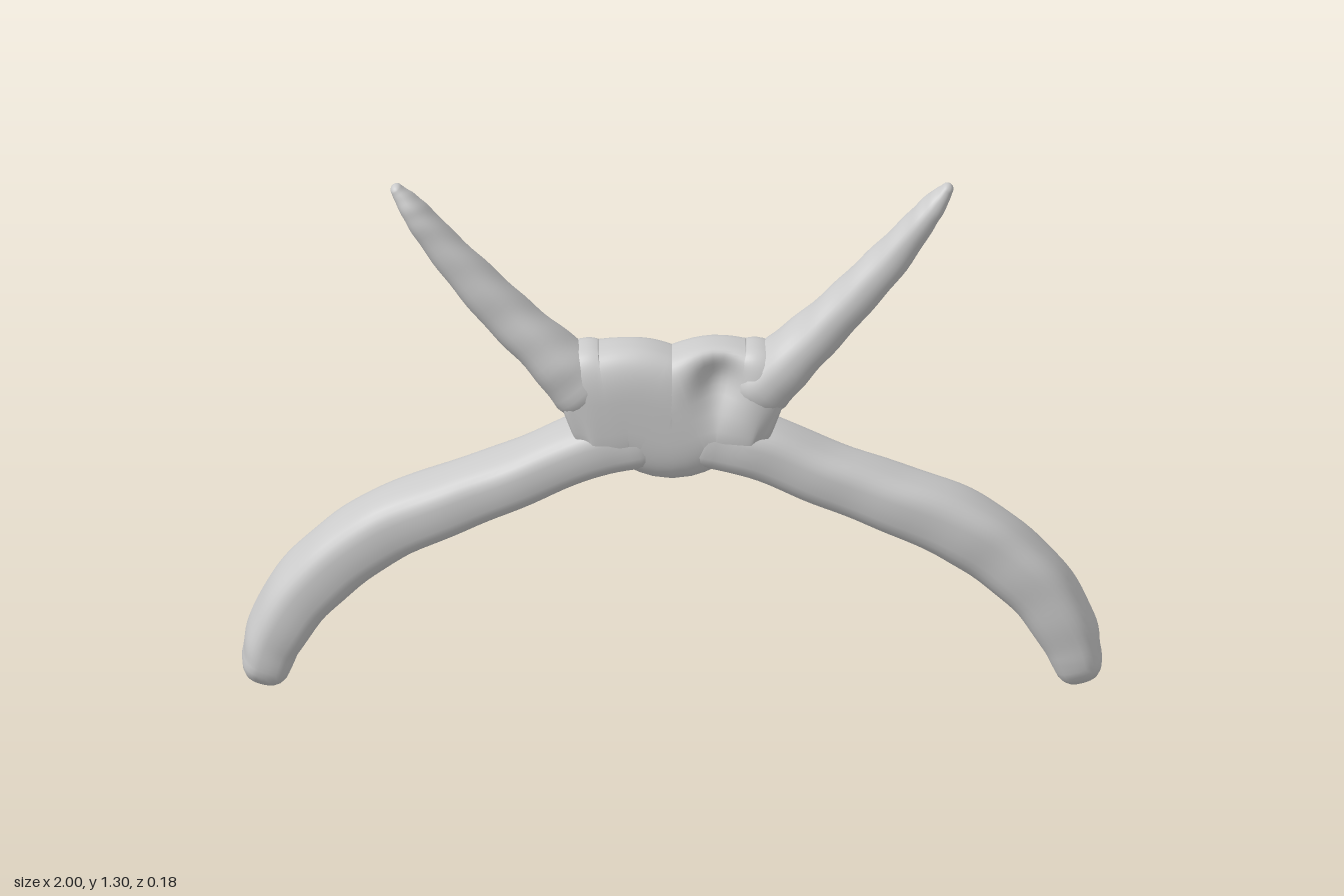
import * as THREE from 'three';

const material = new THREE.MeshStandardMaterial({ color: 0xcccccc });

// Sweeps a rounded section along [x, y, halfWidth, halfDepth] stations, with domed ends.
function sweep(name, stations, { power = 2.5, steps = 40, sides = 28, wobble = 0, capScale = 1, shape } = {}) {
  const path = new THREE.CatmullRomCurve3(stations.map(s => new THREE.Vector3(s[0], s[1], 0)), false, 'catmullrom');
  const size = new THREE.CatmullRomCurve3(stations.map(s => new THREE.Vector3(s[2], s[3], 0)), false, 'catmullrom');
  const rings = [];
  const capSteps = 6;
  const addRing = (t, angle, dir) => {
    const s = size.getPoint(t), tan = path.getTangent(t);
    const c = path.getPoint(t).addScaledVector(tan, dir * Math.sin(angle) * s.x * capScale);
    const k = Math.max(Math.cos(angle), 0.001);
    rings.push({ c, tan, w: s.x * k, d: s.y * k, t });
  };
  for (let i = capSteps; i > 0; i--) addRing(0, (i / capSteps) * Math.PI / 2, -1);
  for (let i = 0; i <= steps; i++) addRing(i / steps, 0, 0);
  for (let i = 1; i <= capSteps; i++) addRing(1, (i / capSteps) * Math.PI / 2, 1);

  const positions = [], index = [], p = new THREE.Vector3();
  const round = v => Math.sign(v) * Math.pow(Math.abs(v), 2 / power);
  rings.forEach((r, i) => {
    for (let j = 0; j < sides; j++) {
      const a = (j / sides) * Math.PI * 2;
      const lump = 1 + wobble * Math.sin(r.t * 31 + 2 * Math.sin(a)) * Math.cos(r.t * 13 + a);
      const u = round(Math.cos(a)) * r.w * lump;
      p.set(r.c.x - r.tan.y * u, r.c.y + r.tan.x * u, round(Math.sin(a)) * r.d * lump);
      if (shape) shape(p);
      positions.push(p.x, p.y, p.z);
      if (i < rings.length - 1) {
        const k = (j + 1) % sides, A = i * sides + j, B = i * sides + k;
        index.push(A, B, A + sides, B, B + sides, A + sides);
      }
    }
  });
  const geometry = new THREE.BufferGeometry();
  geometry.setAttribute('position', new THREE.Float32BufferAttribute(positions, 3));
  geometry.setIndex(index);
  geometry.computeVertexNormals();
  const mesh = new THREE.Mesh(geometry, material);
  mesh.name = name;
  return mesh;
}

// Hollow beside each upper limb: front on the left, back on the right.
function dent(p) {
  const side = Math.sign(p.z);
  const dx = (p.x * side - 0.11) / 0.055, dy = (p.y - 0.81) / 0.075;
  p.z -= side * Math.abs(p.z) * 0.65 * Math.exp(-dx * dx - dy * dy);
}

export function createModel() {
  const group = new THREE.Group();
  group.name = 'branchedFigure';

  // Central body: [x, top, bottom, halfDepth]
  const half = [[0.235, 0.79, 0.62, 0.07], [0.2, 0.875, 0.56, 0.083], [0.15, 0.88, 0.565, 0.086],
    [0.1, 0.887, 0.575, 0.086], [0.05, 0.872, 0.565, 0.086]];
  const profile = [...half.map(([x, ...r]) => [-x, ...r]), [0, 0.852, 0.545, 0.086], ...half.slice().reverse()];
  group.add(sweep('body', profile.map(([x, t, b, d]) => [x, (t + b) / 2, (t - b) / 2, d]),
    { power: 3.2, steps: 60, sides: 56, capScale: 0.15, shape: dent }));

  // Limbs, repeated by a half turn about the vertical axis
  for (const side of ['left', 'right']) {
    const limbs = new THREE.Group();
    limbs.name = side + 'Limbs';
    limbs.add(sweep('lowerLimb', [
      [0.08, 0.645, 0.07, 0.084], [0.2, 0.615, 0.068, 0.086], [0.35, 0.545, 0.068, 0.086],
      [0.5, 0.482, 0.072, 0.087], [0.66, 0.41, 0.079, 0.088], [0.77, 0.33, 0.079, 0.088],
      [0.86, 0.235, 0.075, 0.088], [0.92, 0.13, 0.068, 0.088], [0.942, 0.06, 0.058, 0.084],
    ], { power: 2.9, steps: 48, wobble: 0.02 }));
    limbs.add(sweep('upperLimb', [
      [0.215, 0.78, 0.074, 0.086], [0.3, 0.872, 0.06, 0.08], [0.4, 0.978, 0.053, 0.066],
      [0.5, 1.095, 0.045, 0.055], [0.575, 1.195, 0.034, 0.048], [0.615, 1.25, 0.025, 0.037],
      [0.64, 1.285, 0.014, 0.02],
    ], { power: 2.3, wobble: 0.04 }));
    if (side === 'right') limbs.rotation.y = Math.PI;
    group.add(limbs);
  }
  return group;
}
